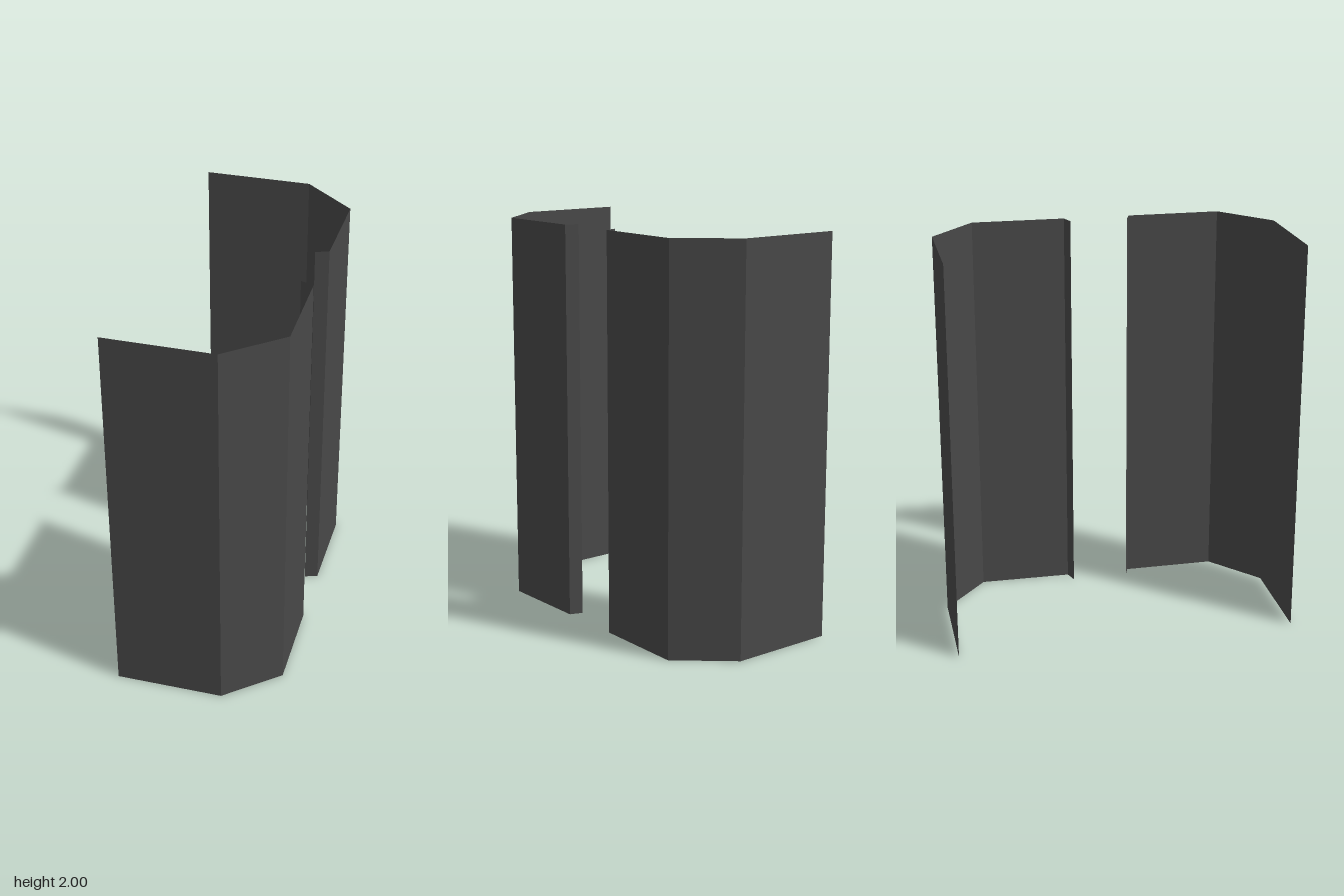
import * as THREE from 'three';

const HEIGHT = 2;

// Plan outline of the front sheet as [x, z], from its open end to the inner lip
const OUTLINE = [[-0.4, 0.86], [0.138, 0.86], [0.4, 0.636], [0.397, 0.168], [0.332, 0.146]];

// Thin upright sheet folded along an outline, one flat panel per segment
function foldedSheet(outline) {
  const positions = [];
  for (let i = 0; i < outline.length - 1; i++) {
    const [ax, az] = outline[i];
    const [bx, bz] = outline[i + 1];
    positions.push(
      ax, 0, az, bx, 0, bz, bx, HEIGHT, bz,
      ax, 0, az, bx, HEIGHT, bz, ax, HEIGHT, az
    );
  }
  const geometry = new THREE.BufferGeometry();
  geometry.setAttribute('position', new THREE.Float32BufferAttribute(positions, 3));
  geometry.computeVertexNormals();
  return geometry;
}

export function createModel() {
  const group = new THREE.Group();
  group.name = 'foldedPanels';

  const darkGrey = new THREE.MeshStandardMaterial({
    color: 0x484848, flatShading: true, side: THREE.DoubleSide
  });
  darkGrey.name = 'dark grey';

  const front = new THREE.Mesh(foldedSheet(OUTLINE), darkGrey);
  front.name = 'frontPanel';

  // Mirrored in z, with the order reversed so panels still face outward
  const mirrored = OUTLINE.map(([x, z]) => [x, -z]).reverse();
  const back = new THREE.Mesh(foldedSheet(mirrored), darkGrey);
  back.name = 'backPanel';

  group.add(front, back);
  return group;
}
